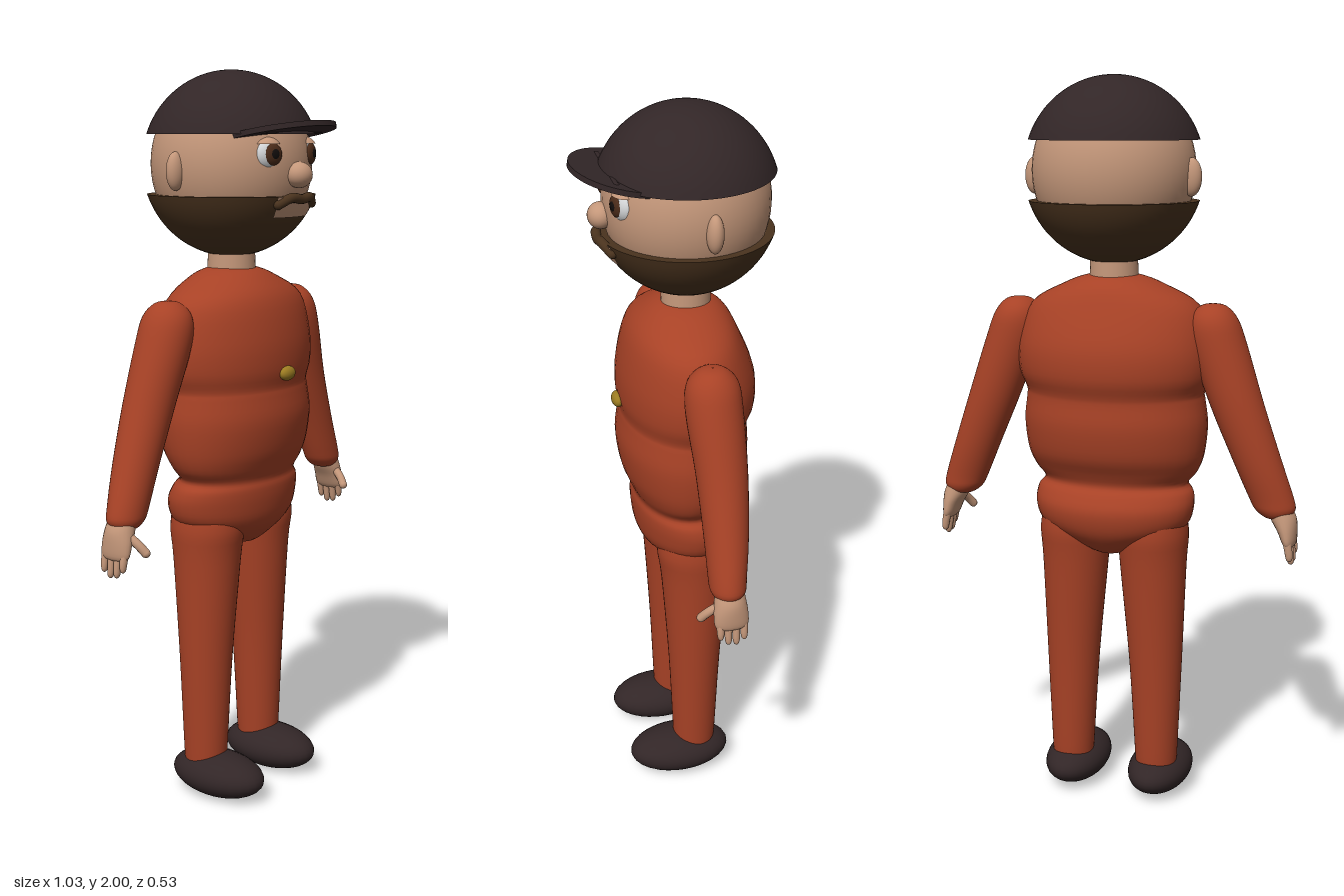
import * as THREE from 'three';

const mat = (name, color) => {
  const m = new THREE.MeshStandardMaterial({ color });
  m.name = name;
  return m;
};

export function createModel() {
  const suit = mat('rust suit', 0xa84226);
  const dark = mat('dark cloth', 0x322627);
  const skin = mat('skin', 0xc4977a);
  const hair = mat('beard brown', 0x4a331e);
  const gold = mat('gold', 0x9c7c22);
  const white = mat('eye white', 0xd4d6d8);
  const iris = mat('iris brown', 0x4c2c1a);
  const black = mat('pupil black', 0x120d0c);

  const model = new THREE.Group();
  model.name = 'figure';

  const add = (name, geo, material, x = 0, y = 0, z = 0) => {
    const mesh = new THREE.Mesh(geo, material);
    mesh.name = name;
    mesh.position.set(x, y, z);
    model.add(mesh);
    return mesh;
  };
  const ball = (name, material, pos, rad, w = 28, h = 20) =>
    add(name, new THREE.SphereGeometry(1, w, h).scale(...rad), material, ...pos);

  // Smooth skin over elliptical sections [y, x, z, rx, rz], listed top to bottom
  function loft(sections, steps = 4, sides = 40) {
    const rows = (sections.length - 1) * steps;
    const at = (k, t) => {
      const i = Math.min(Math.floor(t), sections.length - 2), f = t - i;
      const p = (n) => sections[Math.max(0, Math.min(sections.length - 1, n))][k];
      const a = p(i - 1), b = p(i), c = p(i + 1), d = p(i + 2);
      return b + 0.5 * f * (c - a + f * (2 * a - 5 * b + 4 * c - d + f * (3 * (b - c) + d - a)));
    };
    const pos = [], idx = [];
    for (let r = 0; r <= rows; r++) {
      const [y, x, z, rx, rz] = [0, 1, 2, 3, 4].map((k) => at(k, r / steps));
      for (let j = 0; j < sides; j++) {
        const a = (j / sides) * Math.PI * 2;
        pos.push(x + Math.max(rx, 0.001) * Math.sin(a), y, z + Math.max(rz, 0.001) * Math.cos(a));
        if (r === rows) continue;
        const n = (j + 1) % sides, u = r * sides, d = u + sides;
        idx.push(d + j, d + n, u + n, d + j, u + n, u + j);
      }
    }
    const g = new THREE.BufferGeometry();
    g.setAttribute('position', new THREE.Float32BufferAttribute(pos, 3));
    g.setIndex(idx);
    g.computeVertexNormals();
    return g;
  }

  // Torso with chest fold, belly, waist and hips
  add('torso', loft([
    [1.485, 0, -0.037, 0.002, 0.002], [1.48, 0, -0.037, 0.07, 0.06], [1.455, 0, -0.035, 0.14, 0.105],
    [1.4, 0, -0.027, 0.235, 0.145], [1.3, 0, -0.034, 0.268, 0.178], [1.22, 0, -0.034, 0.268, 0.182],
    [1.17, 0, -0.03, 0.25, 0.17], [1.145, 0, -0.027, 0.251, 0.17], [1.08, 0, -0.025, 0.258, 0.176],
    [1.0, 0, -0.023, 0.25, 0.163], [0.95, 0, -0.018, 0.232, 0.14], [0.915, 0, -0.018, 0.205, 0.126],
    [0.89, 0, -0.025, 0.221, 0.137], [0.85, 0, -0.035, 0.225, 0.146], [0.8, 0, -0.036, 0.208, 0.138],
    [0.76, 0, -0.036, 0.15, 0.115], [0.72, 0, -0.037, 0.05, 0.07], [0.71, 0, -0.037, 0.002, 0.002],
  ]), suit);
  ball('button', gold, [0, 1.205, 0.15], [0.03, 0.02, 0.016]);

  // Limbs, mirrored left and right
  for (const s of [1, -1]) {
    const side = s > 0 ? 'left' : 'right';
    add(side + 'Leg', loft([
      [0.86, 0.115 * s, -0.037, 0.08, 0.09], [0.78, 0.114 * s, -0.037, 0.097, 0.105],
      [0.68, 0.114 * s, -0.038, 0.092, 0.094], [0.4, 0.122 * s, -0.037, 0.074, 0.074],
      [0.13, 0.125 * s, -0.037, 0.06, 0.062], [0.1, 0.125 * s, -0.037, 0.058, 0.058],
    ]), suit);
    ball(side + 'Shoe', dark, [0.125 * s, 0.063, 0.008], [0.087, 0.063, 0.147]);

    add(side + 'Arm', loft([
      [1.412, 0.275 * s, -0.037, 0.002, 0.002], [1.405, 0.276 * s, -0.037, 0.035, 0.035],
      [1.37, 0.278 * s, -0.037, 0.064, 0.066], [1.3, 0.293 * s, -0.038, 0.076, 0.074],
      [1.15, 0.345 * s, -0.045, 0.073, 0.067], [1.0, 0.403 * s, -0.043, 0.066, 0.058],
      [0.9, 0.442 * s, -0.037, 0.061, 0.05], [0.865, 0.454 * s, -0.036, 0.054, 0.046],
      [0.845, 0.458 * s, -0.036, 0.03, 0.03], [0.842, 0.458 * s, -0.036, 0.002, 0.002],
    ]), suit);

    // Hand: palm, four fingers and a thumb pointing forward
    add(side + 'Palm', loft([
      [0.875, 0.468 * s, -0.036, 0.03, 0.036], [0.845, 0.477 * s, -0.036, 0.035, 0.042],
      [0.81, 0.489 * s, -0.036, 0.026, 0.046], [0.775, 0.496 * s, -0.037, 0.016, 0.042],
      [0.765, 0.497 * s, -0.037, 0.002, 0.01],
    ], 4, 24), skin);
    [0.745, 0.728, 0.725, 0.738].forEach((tip, i) => {
      const z = -0.006 - i * 0.021;
      add(side + 'Finger' + (i + 1), loft([
        [0.8, 0.492 * s, z, 0.012, 0.011], [tip + 0.02, 0.5 * s, z, 0.011, 0.01],
        [tip, 0.502 * s, z, 0.008, 0.007], [tip - 0.006, 0.502 * s, z, 0.001, 0.001],
      ], 3, 12), skin);
    });
    const thumb = new THREE.CatmullRomCurve3([
      new THREE.Vector3(0.48 * s, 0.835, -0.01), new THREE.Vector3(0.47 * s, 0.81, 0.02),
      new THREE.Vector3(0.461 * s, 0.79, 0.036),
    ]);
    add(side + 'Thumb', new THREE.TubeGeometry(thumb, 10, 0.012, 12), skin);
    ball(side + 'ThumbTip', skin, [0.461 * s, 0.79, 0.036], [0.012, 0.012, 0.012], 12, 10);
  }

  // Head and neck
  const HY = 1.755, HZ = -0.038;
  add('neck', new THREE.CylinderGeometry(0.062, 0.068, 0.14, 32), skin, 0, 1.5, HZ);
  ball('head', skin, [0, HY, HZ], [0.218, 0.235, 0.216], 48, 32);
  ball('nose', skin, [0, 1.73, 0.183], [0.038, 0.034, 0.034]);

  // Cap and beard: closed ends of one larger ball
  const cut = Math.acos(0.079 / 0.246);
  const dome = () => {
    const pts = [];
    for (let i = 0; i <= 20; i++) {
      const a = cut * (1 - i / 20);
      pts.push(new THREE.Vector2(i === 20 ? 0 : 0.24 * Math.sin(a), 0.246 * Math.cos(a)));
    }
    return new THREE.LatheGeometry(pts, 56);
  };
  const rim = 0.24 * Math.sin(cut);
  const lid = () => new THREE.CircleGeometry(rim, 56).rotateX(Math.PI / 2).translate(0, 0.079, 0);
  add('cap', dome(), dark, 0, HY, HZ);
  add('capUnderside', lid(), dark, 0, HY, HZ);
  add('beard', dome().rotateX(Math.PI), hair, 0, HY, HZ);
  add('beardTop', lid().rotateX(Math.PI), hair, 0, HY, HZ);

  // Cap peak tilted up at the front, with its seam roll
  const peak = add('capPeak', new THREE.CylinderGeometry(1, 1, 0.014, 56).scale(0.165, 1, 0.142), dark, 0, 1.836, 0.12);
  peak.rotation.x = -0.19;
  add('peakSeam', new THREE.CapsuleGeometry(0.01, 0.235, 6, 12).rotateZ(Math.PI / 2), dark, 0, 1.845, 0.166);

  // Skin patch round the mouth, with moustache and lip line
  const half = 0.37, t0 = Math.acos(-0.3225), t1 = Math.acos(-0.54);
  add('mouthPatch', new THREE.SphereGeometry(1, 20, 8, Math.PI / 2 - half, half * 2, t0, t1 - t0)
    .scale(0.243, 0.249, 0.243), skin, 0, HY, HZ);
  const lip = new THREE.CatmullRomCurve3([
    new THREE.Vector3(-0.075, 1.655, 0.17), new THREE.Vector3(-0.04, 1.672, 0.188),
    new THREE.Vector3(0, 1.668, 0.192), new THREE.Vector3(0.04, 1.672, 0.188),
    new THREE.Vector3(0.075, 1.655, 0.17),
  ]);
  add('moustache', new THREE.TubeGeometry(lip, 32, 0.013, 12), hair);
  for (const s of [1, -1]) ball('moustacheTip', hair, [0.075 * s, 1.655, 0.17], [0.013, 0.013, 0.013], 12, 10);

  // Ears and eyes
  for (const s of [1, -1]) {
    const side = s > 0 ? 'left' : 'right';
    ball(side + 'Ear', skin, [0.217 * s, 1.74, -0.055], [0.028, 0.05, 0.022]);
    const eye = new THREE.Group();
    eye.name = side + 'Eye';
    eye.position.set(0.084 * s, 1.782, 0.14);
    eye.rotation.y = 0.25 * s;
    const part = (name, m, g, x, y, z) => {
      const p = add(name, g, m, x, y, z);
      eye.add(p);
    };
    const disc = (r, d) => new THREE.SphereGeometry(1, 24, 16).scale(r, r, d);
    part('eyeball', white, disc(0.041, 0.028), 0, 0, 0);
    part('iris', iris, disc(0.028, 0.012), -0.004 * s, 0.001, 0.02);
    part('pupil', black, disc(0.014, 0.006), -0.004 * s, 0.002, 0.028);
    part('eyelid', skin, new THREE.SphereGeometry(1, 24, 12, 0, Math.PI * 2, 0, 0.95)
      .scale(0.045, 0.044, 0.036), 0, 0.002, 0);
    model.add(eye);
  }
  return model;
}
